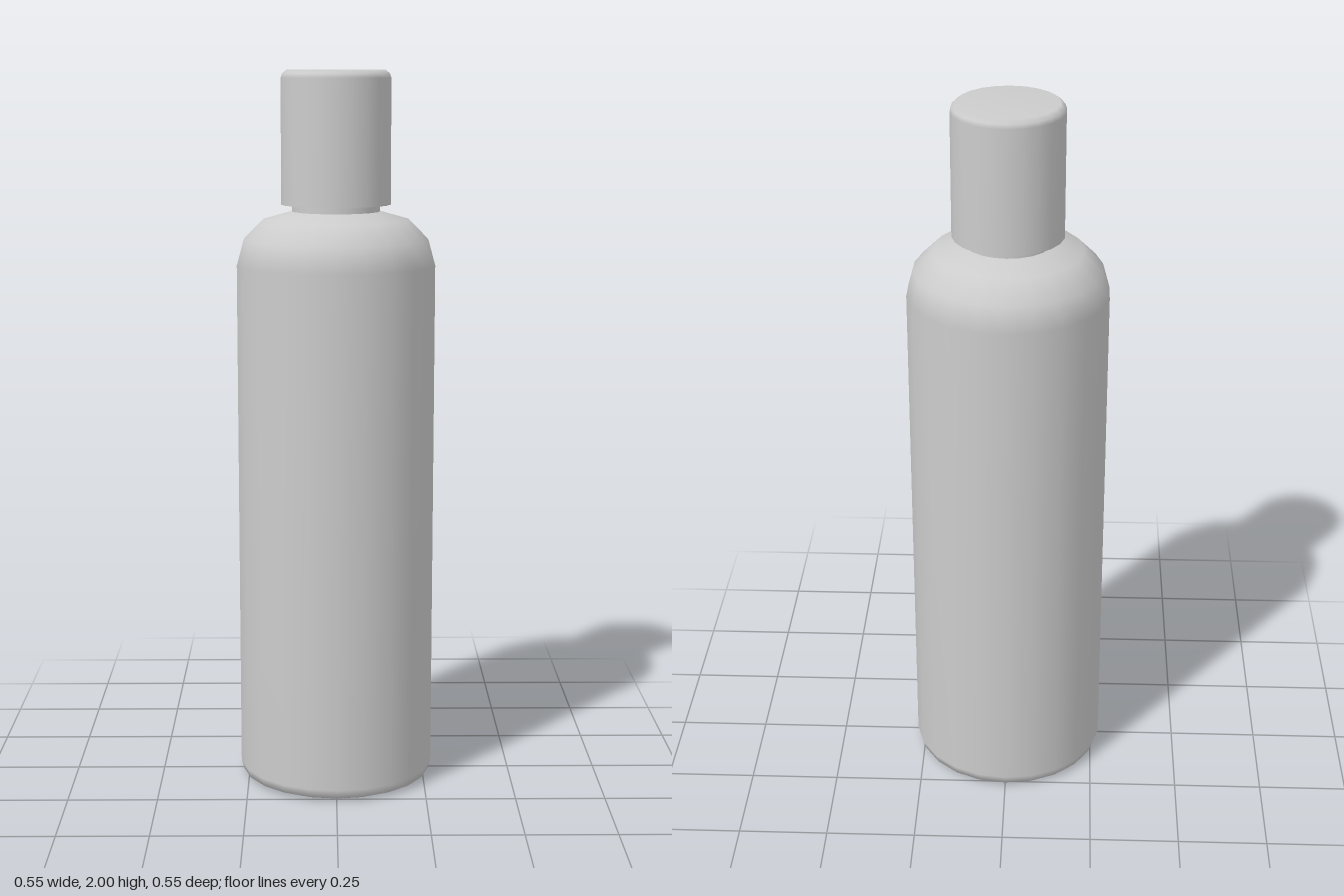
import * as THREE from 'three';

const SIDES = 22;

// Revolve a [radius, height] profile, listed from bottom to top
function revolve(name, profile, material) {
  const points = profile.map(([r, y]) => new THREE.Vector2(r, y));
  const mesh = new THREE.Mesh(new THREE.LatheGeometry(points, SIDES), material);
  mesh.name = name;
  return mesh;
}

export function createModel() {
  const group = new THREE.Group();
  group.name = 'bottle';
  const material = new THREE.MeshStandardMaterial({ color: 0xcccccc });

  // Base, straight wall and rounded shoulder
  group.add(revolve('body', [
    [0, 0], [0.245, 0], [0.268, 0.01], [0.276, 0.035],
    [0.276, 1.47], [0.257, 1.54], [0.203, 1.594], [0.122, 1.617],
  ], material));

  // Short neck running up into the cap
  group.add(revolve('neck', [[0.122, 1.617], [0.122, 1.64]], material));

  // Cap with a small bevel around the top
  group.add(revolve('cap', [
    [0.152, 1.636], [0.152, 1.978], [0.148, 1.99], [0.136, 2], [0, 2],
  ], material));

  // Flat underside of the cap, with a crisp rim
  group.add(revolve('capUnderside', [[0, 1.636], [0.152, 1.636]], material));

  return group;
}
